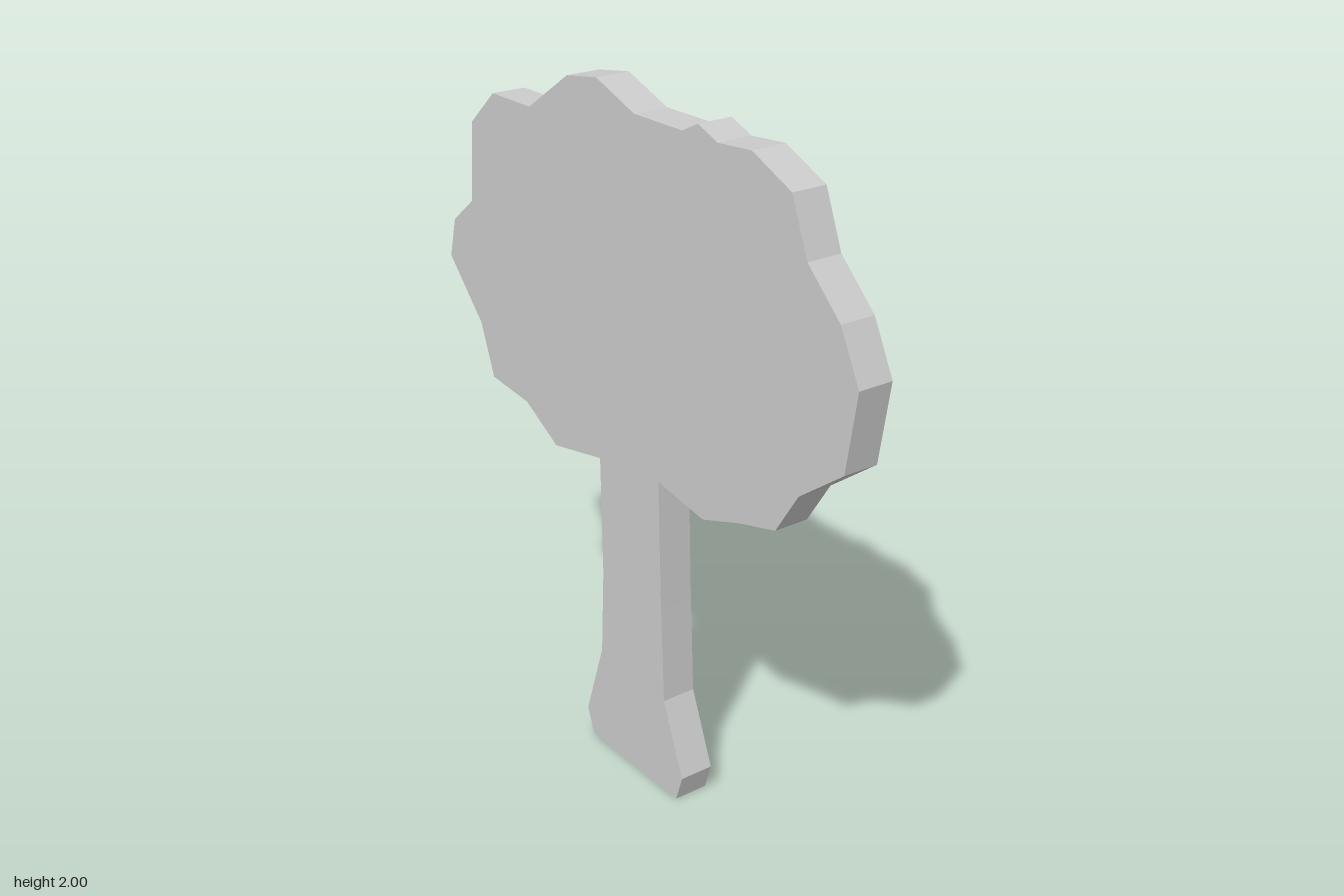
import * as THREE from 'three';

const DEPTH = 0.104;

// Leafy crown, clockwise from the right of the trunk top round to its left... listed
// counter-clockwise: right junction, up the right side, over the top, down the left side.
const crown = [
  [0.135, 0.965], [0.325, 0.93], [0.475, 0.98], [0.61, 1.015], [0.69, 1.14], [0.845, 1.255],
  [0.88, 1.48], [0.81, 1.62], [0.69, 1.735], [0.63, 1.885], [0.485, 1.95], [0.36, 1.94],
  [0.285, 1.97], [0.225, 1.94], [0.03, 1.94], [-0.13, 2], [-0.26, 1.98], [-0.44, 1.86],
  [-0.62, 1.86], [-0.735, 1.755], [-0.75, 1.52], [-0.85, 1.44], [-0.88, 1.32], [-0.725, 1.155],
  [-0.665, 1], [-0.49, 0.98], [-0.345, 0.895], [-0.13, 0.935],
];

// Trunk flaring to a chamfered foot, down the left side and up the right
const trunk = [
  [-0.12, 0.58], [-0.13, 0.32], [-0.205, 0.085], [-0.175, 0.01],
  [0.225, 0], [0.25, 0.08], [0.165, 0.295], [0.15, 0.58],
];

export function createModel() {
  const group = new THREE.Group();
  group.name = 'flatTree';

  // Crown and trunk form one continuous cut-out slab
  const outline = [...crown, ...trunk].map(([x, y]) => new THREE.Vector2(x, y));
  const geometry = new THREE.ExtrudeGeometry(new THREE.Shape(outline), {
    depth: DEPTH,
    bevelEnabled: false,
  });
  geometry.translate(0, 0, -DEPTH / 2);

  const tree = new THREE.Mesh(
    geometry,
    new THREE.MeshStandardMaterial({ color: 0xcccccc, flatShading: true }),
  );
  tree.name = 'crownAndTrunk';
  group.add(tree);
  return group;
}
